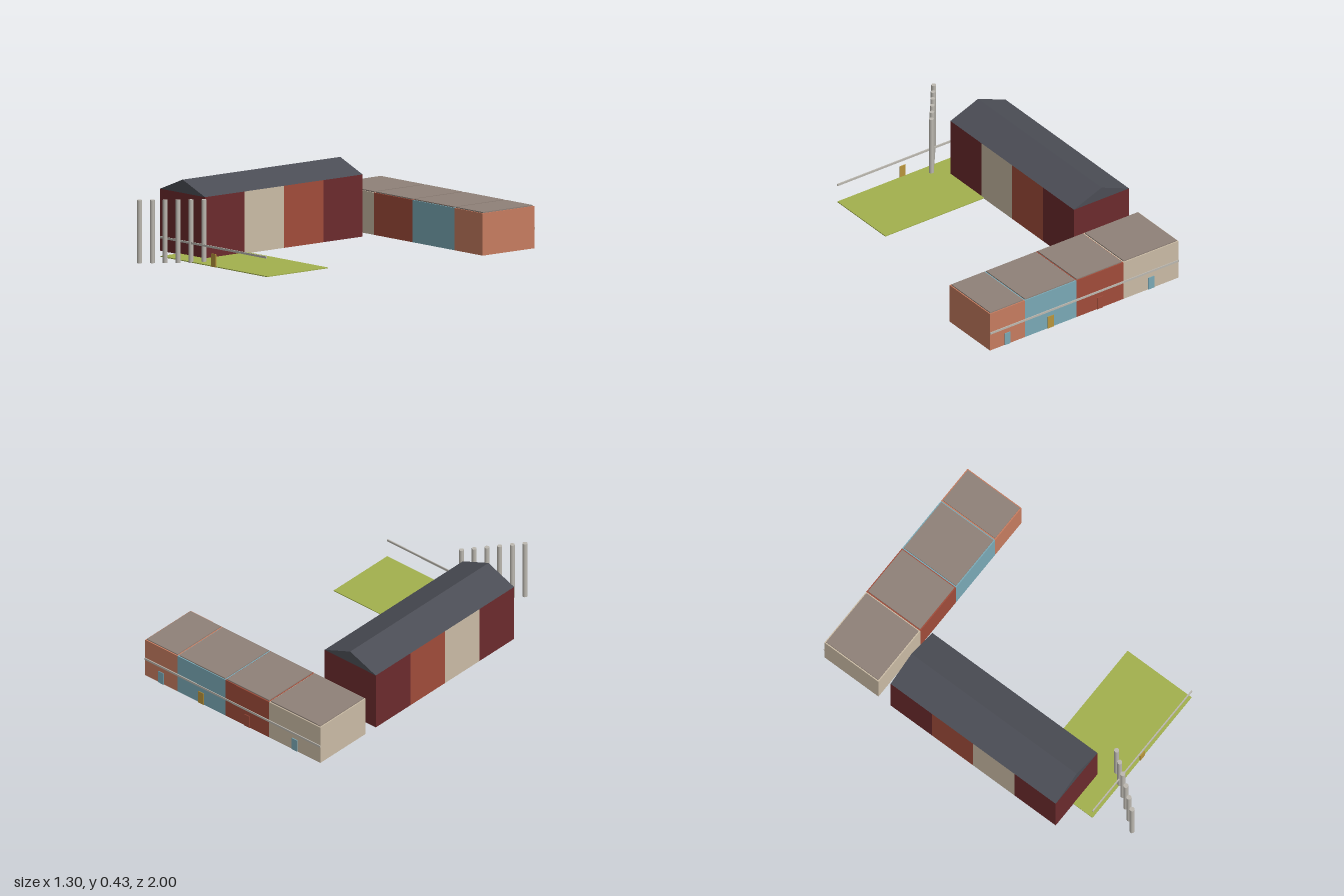
import * as THREE from 'three';

const mat = (name, color) => {
  const m = new THREE.MeshStandardMaterial({ color });
  m.name = name;
  return m;
};

export function createModel() {
  const group = new THREE.Group();
  const maroon = mat('maroon', 0x6b2b2d);
  const cream = mat('cream', 0xcabba5);
  const red = mat('brick red', 0xa04c3a);
  const teal = mat('teal', 0x7aa9b6);
  const salmon = mat('salmon', 0xc67c60);
  const taupe = mat('taupe roof', 0x8f8178);
  const slate = mat('slate roof', 0x4b4d55);
  const green = mat('lawn green', 0xa2b04d);
  const gold = mat('gold', 0xb8953c);
  const steel = mat('steel', 0xbcb8b0);

  // Box given by its limits on each axis
  const box = (name, material, x0, x1, y0, y1, z0, z1) => {
    const mesh = new THREE.Mesh(new THREE.BoxGeometry(x1 - x0, y1 - y0, z1 - z0), material);
    mesh.position.set((x0 + x1) / 2, (y0 + y1) / 2, (z0 + z1) / 2);
    mesh.name = name;
    group.add(mesh);
  };

  // Long hall: four coloured bays
  const bayZ = [0.63, 0.34, 0.05, -0.24, -0.53];
  [maroon, cream, red, maroon].forEach((m, i) =>
    box('hallBay', m, -0.65, -0.27, 0, 0.35, bayZ[i + 1], bayZ[i]));

  // Pitched roof prism over the hall
  const gable = new THREE.Shape([
    new THREE.Vector2(-0.65, 0.35),
    new THREE.Vector2(-0.27, 0.35),
    new THREE.Vector2(-0.46, 0.425),
  ]);
  const roof = new THREE.Mesh(
    new THREE.ExtrudeGeometry(gable, { depth: 1.16, bevelEnabled: false }), slate);
  roof.position.z = -0.53;
  roof.name = 'hallRoof';
  group.add(roof);

  // Row of flat-roofed units, each with an inset roof slab and a rear door
  const unitX = [-0.65, -0.27, 0.055, 0.41, 0.65];
  const walls = [cream, red, teal, salmon];
  const doors = [teal, red, gold, teal];
  walls.forEach((m, i) => {
    const x0 = unitX[i], x1 = unitX[i + 1], c = (x0 + x1) / 2, inset = 0.007;
    box('unitWalls', m, x0, x1, 0, 0.238, -0.995, -0.615);
    box('unitRoof', taupe, x0 + inset, x1 - inset, 0.238, 0.244, -0.995 + inset, -0.615 - inset);
    box('unitDoor', doors[i], c - 0.02, c + 0.02, 0, 0.075, -0.999, -0.995);
  });
  box('rearRail', steel, -0.65, 0.65, 0.106, 0.118, -1, -0.994);

  // Lawn with a gate and a rail along its front edge
  box('lawn', green, -0.49, 0.41, 0.001, 0.006, 0.315, 0.765);
  box('gate', gold, -0.06, -0.02, 0.001, 0.075, 0.764, 0.769);
  box('frontRail', steel, -0.49, 0.41, 0.106, 0.118, 0.763, 0.77);

  // Diagonal line of poles
  const poleGeo = new THREE.CylinderGeometry(0.014, 0.014, 0.355, 12);
  for (let i = 0; i < 6; i++) {
    const pole = new THREE.Mesh(poleGeo, steel);
    pole.position.set(-0.416 + i * 0.0445, 0.1775, 0.986 - i * 0.0562);
    pole.name = 'pole';
    group.add(pole);
  }
  return group;
}
